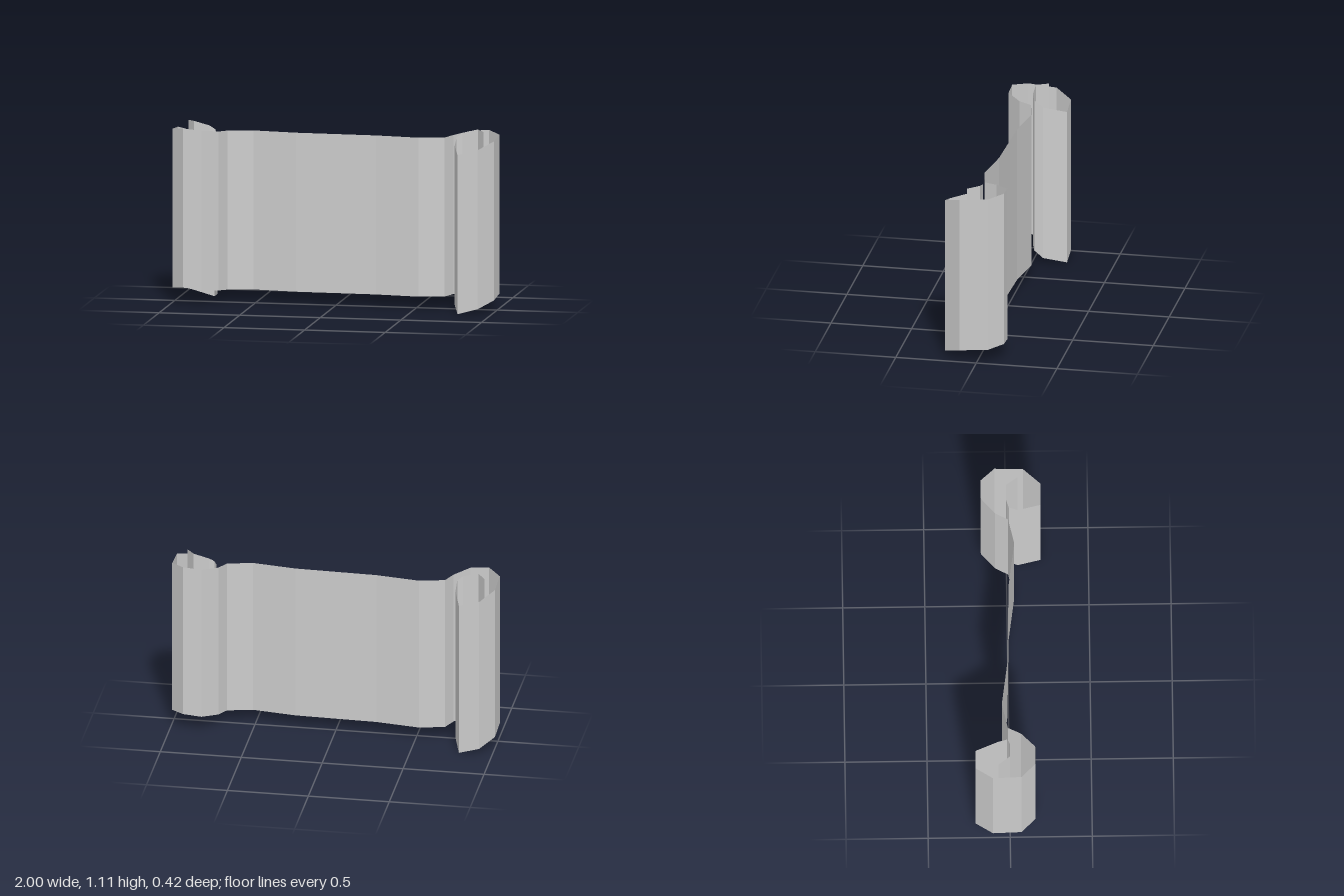
import * as THREE from 'three';

// Half of the sheet seen from above, from the middle out to the rolled end: [x, z, height of lower edge]
const HALF = [
  [0.25, 0.007, 0.075], [0.52, 0.045, 0.075], [0.675, 0.01, 0.075], [0.715, -0.07, 0.08],
  [0.805, -0.155, 0.095], [0.92, -0.155, 0.105], [1.0, -0.07, 0.09], [1.0, 0.105, 0.075],
  [0.92, 0.21, 0.035], [0.795, 0.21, 0.0], [0.75, 0.07, 0.035], [0.752, 0.015, 0.08],
  [0.785, 0.0, 0.105], [0.88, 0.0, 0.13], [0.93, 0.07, 0.125],
];
const HEIGHT = 0.98;

// Upright strip of quads standing on a path
function strip(name, path, material) {
  const positions = [];
  const index = [];
  path.forEach(([x, z, y], i) => {
    positions.push(x, y, z, x, y + HEIGHT, z);
    if (i > 0) {
      const a = 2 * (i - 1);
      index.push(a, a + 2, a + 3, a, a + 3, a + 1);
    }
  });
  const indexed = new THREE.BufferGeometry();
  indexed.setAttribute('position', new THREE.Float32BufferAttribute(positions, 3));
  indexed.setIndex(index);
  const geometry = indexed.toNonIndexed();
  geometry.computeVertexNormals();
  const mesh = new THREE.Mesh(geometry, material);
  mesh.name = name;
  return mesh;
}

export function createModel() {
  const group = new THREE.Group();
  group.name = 'scroll';
  const material = new THREE.MeshStandardMaterial({
    color: 0xcccccc, flatShading: true, side: THREE.DoubleSide,
  });

  // The two halves match under a half turn about the vertical axis
  const turned = HALF.map(([x, z, y]) => [-x, -z, y]);

  // Open sheet between the rolls
  group.add(strip('sheet', [...turned.slice(0, 3).reverse(), ...HALF.slice(0, 3)], material));

  // Rolled ends, one curling forward and one back
  group.add(strip('leftRoll', HALF.slice(2), material));
  group.add(strip('rightRoll', turned.slice(2), material));
  return group;
}
